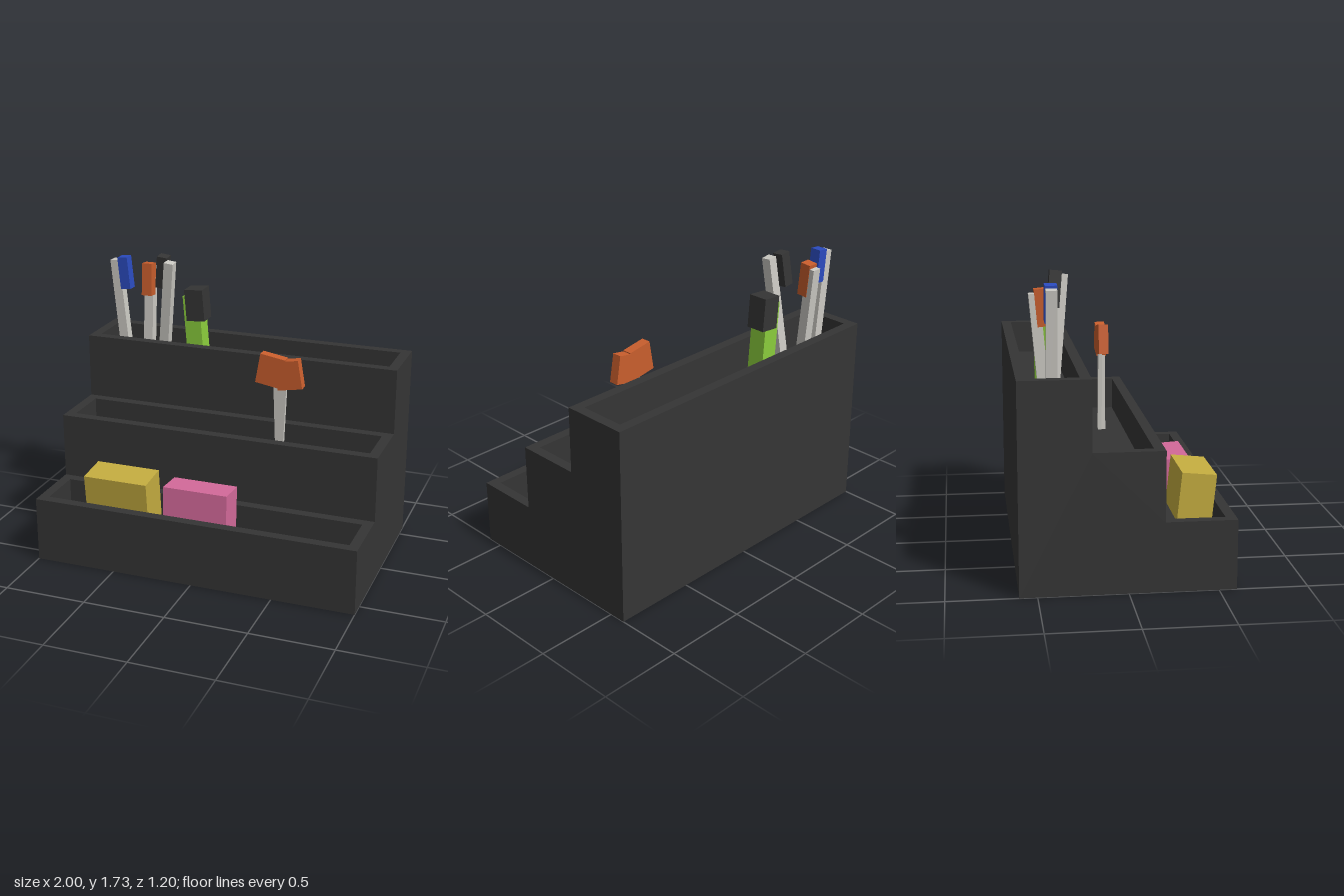
import * as THREE from 'three';

const paint = (name, color) => {
  const m = new THREE.MeshStandardMaterial({ color });
  m.name = name;
  return m;
};

export function createModel() {
  const root = new THREE.Group();
  root.name = 'deskOrganizer';

  const charcoal = paint('charcoal', 0x353535);
  const white = paint('offWhite', 0xcccac4);
  const blue = paint('blue', 0x2b4bbf);
  const orange = paint('orange', 0xc95e2d);
  const green = paint('green', 0x8acc3c);
  const yellow = paint('yellow', 0xc5ad40);
  const pink = paint('pink', 0xd56a9b);

  // Stepped body: side profile in (-z, y), extruded along x
  const wall = 0.06, pocket = 0.2;
  const extrudeProfile = (name, points, x, width) => {
    const shape = new THREE.Shape(points.map(([a, b]) => new THREE.Vector2(a, b)));
    const geo = new THREE.ExtrudeGeometry(shape, { depth: width, bevelEnabled: false });
    geo.rotateY(Math.PI / 2); // shape x becomes -z, depth becomes +x
    geo.translate(x, 0, 0);
    const mesh = new THREE.Mesh(geo, charcoal);
    mesh.name = name;
    root.add(mesh);
  };
  const steps = [[0.6, 0], [-0.6, 0]];
  const troughs = [[0.6, 0], [-0.6, 0]];
  for (let i = 0; i < 3; i++) {
    const a = -0.6 + 0.4 * i, b = a + 0.4, y = 0.4 * (i + 1);
    steps.push([a, y], [b, y]);
    troughs.push([a, y], [a + wall, y], [a + wall, y - pocket],
      [b - wall, y - pocket], [b - wall, y], [b, y]);
  }
  extrudeProfile('troughs', troughs, -1 + wall, 2 - 2 * wall);
  extrudeProfile('rightEnd', steps, -1, wall);
  extrudeProfile('leftEnd', steps, 1 - wall, wall);

  // Box hung from the centre of its top face, then leaned
  const hang = (parent, name, mat, [w, h, d], [x, y, z], rx = 0, rz = 0) => {
    const geo = new THREE.BoxGeometry(w, h, d).translate(0, -h / 2, 0);
    const mesh = new THREE.Mesh(geo, mat);
    mesh.name = name;
    mesh.position.set(x, y, z);
    mesh.rotation.set(rx, 0, rz);
    parent.add(mesh);
  };
  const group = (name) => {
    const g = new THREE.Group();
    g.name = name;
    root.add(g);
    return g;
  };

  // Pens in the back trough: shaft plus offset cap
  const pens = [
    ['bluePen', blue, [-0.885, 1.662, -0.402], [-0.832, 1.682, -0.402], 0, 0.1],
    ['orangePen', orange, [-0.682, 1.617, -0.483], [-0.682, 1.642, -0.45], -0.09, 0],
    ['blackPen', charcoal, [-0.48, 1.695, -0.311], [-0.538, 1.722, -0.353], 0.09, -0.11],
  ];
  for (const [name, mat, shaftTop, capTop, rx, rz] of pens) {
    const g = group(name);
    hang(g, 'shaft', white, [0.06, shaftTop[1] - 0.99, 0.06], shaftTop, rx, rz);
    hang(g, 'cap', mat, [0.066, 0.205, 0.068], capTop, rx, rz);
  }

  // Wide green marker
  const marker = group('greenMarker');
  hang(marker, 'barrel', green, [0.108, 0.49, 0.11], [-0.361, 1.479, -0.405], 0, 0.08);
  hang(marker, 'cap', charcoal, [0.12, 0.2, 0.12], [-0.343, 1.522, -0.405], 0, 0.08);

  // Scissors in the middle trough
  const scissors = group('scissors');
  for (const s of [-1, 1]) {
    hang(scissors, 'blade', white, [0.05, 0.55, 0.023],
      [0.347 + s * 0.021, 1.15, s * 0.0115], 0, -s * 0.04);
  }
  hang(scissors, 'rightHandle', orange, [0.155, 0.183, 0.06], [0.306, 1.276, 0], 0, -0.17);
  hang(scissors, 'leftHandle', orange, [0.152, 0.175, 0.06], [0.386, 1.257, 0], 0, 0.17);

  // Note blocks in the front trough
  hang(root, 'yellowBlock', yellow, [0.4, 0.39, 0.2], [-0.5, 0.58, 0.44], 0.1);
  hang(root, 'pinkBlock', pink, [0.4, 0.35, 0.18], [-0.02, 0.54, 0.378], -0.06);

  return root;
}
